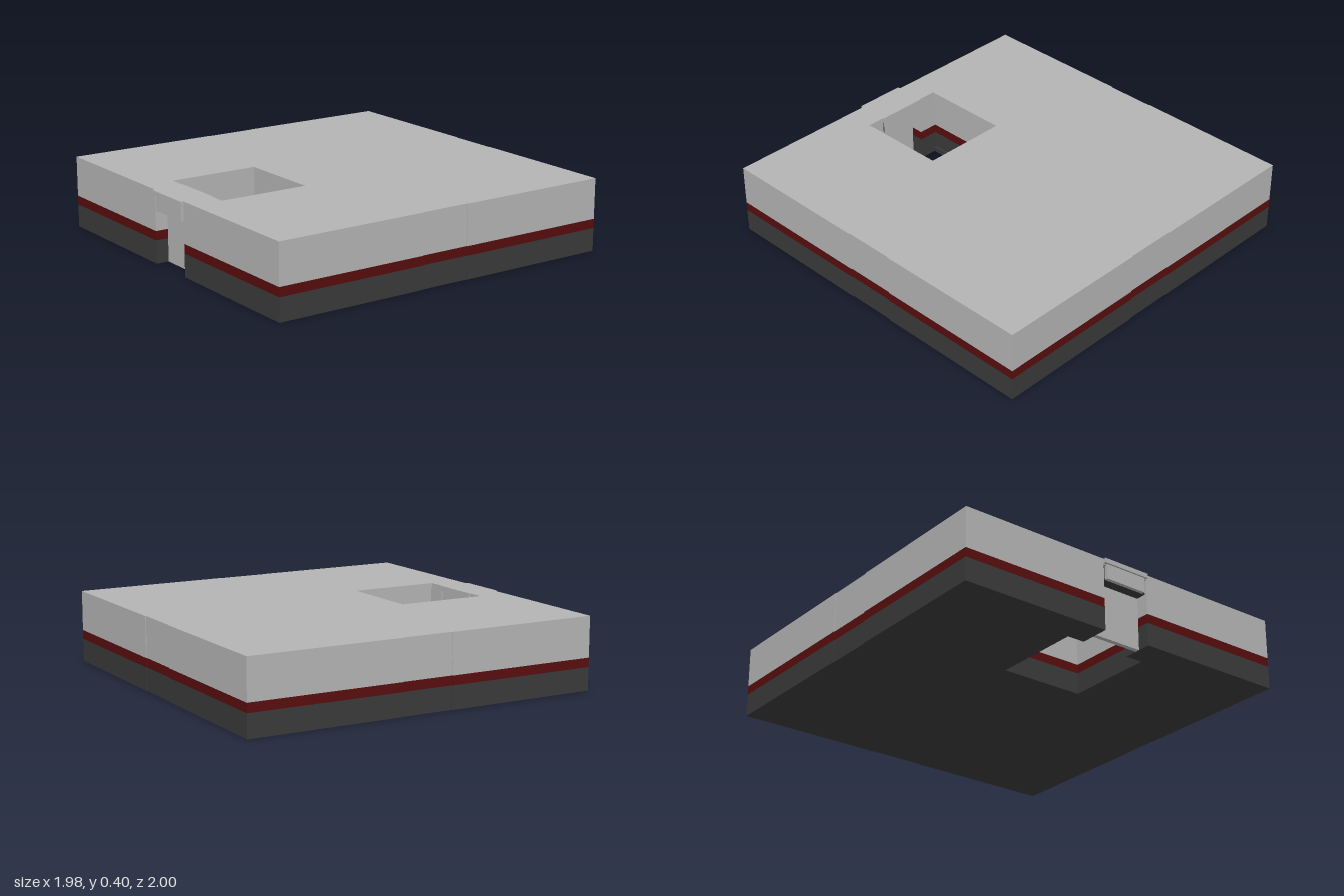
import * as THREE from 'three';

const mat = (name, color) => new THREE.MeshStandardMaterial({ name, color });

export function createModel() {
  const group = new THREE.Group();
  const grey = mat('pale grey', 0xb4b4b4);
  const red = mat('dark red', 0x580d0d);
  const dark = mat('charcoal', 0x3a3a3a);

  const X = 0.99, BACK = -1, FRONT = 0.985;
  const DOOR = 0.14, INSET = 0.004, INNER = 0.82;

  const toShape = (pts, Type = THREE.Shape) =>
    new Type(pts.map(([x, z]) => new THREE.Vector2(x, -z)));

  // right half of the outer wall line, with shallow bays on the side and back
  const half = [
    [X, FRONT], [X, DOOR], [X - INSET, DOOR], [X - INSET, -DOOR], [X, -DOOR],
    [X, BACK], [DOOR, BACK], [DOOR, BACK + INSET],
  ];
  const mirrored = pts => pts.map(([x, z]) => [-x, z]).reverse();

  // one storey layer: the opening is a shaft, optionally joined to the doorway
  function layer(name, y0, y1, material, w, back, doorway) {
    const shaft = [[DOOR, INNER], [w, INNER], [w, back]];
    let shape;
    if (doorway) {
      const right = [...shaft.slice().reverse(), [DOOR, FRONT], ...half];
      shape = toShape([...right, ...mirrored(right)]);
    } else {
      shape = toShape([...half, ...mirrored(half)]);
      shape.holes.push(toShape([[-w, INNER], [w, INNER], [w, back], [-w, back]], THREE.Path));
    }
    const geo = new THREE.ExtrudeGeometry(shape, { depth: y1 - y0, bevelEnabled: false });
    geo.rotateX(-Math.PI / 2).translate(0, y0, 0);
    const mesh = new THREE.Mesh(geo, material);
    mesh.name = name;
    group.add(mesh);
  }

  function box(name, material, x0, x1, y0, y1, z0, z1) {
    const mesh = new THREE.Mesh(new THREE.BoxGeometry(x1 - x0, y1 - y0, z1 - z0), material);
    mesh.position.set((x0 + x1) / 2, (y0 + y1) / 2, (z0 + z1) / 2);
    mesh.name = name;
    group.add(mesh);
  }

  // stacked layers, the floor and roof edges forming a small lip around the shaft
  layer('floorSlab', 0, 0.03, dark, 0.24, 0.32, true);
  layer('baseWall', 0.03, 0.125, dark, 0.25, 0.31, true);
  layer('redBand', 0.125, 0.175, red, 0.25, 0.31, true);
  layer('upperWall', 0.175, 0.365, grey, 0.25, 0.31, true);
  layer('roofSlab', 0.365, 0.395, grey, 0.24, 0.32, false);

  // doorway: recessed door, canopy and a lintel on each side
  box('door', grey, -DOOR, DOOR, 0, 0.365, 0.89, 0.915);
  box('canopyFront', grey, -DOOR, DOOR, 0.37, 0.395, FRONT, 1);
  box('canopyInner', grey, -DOOR, DOOR, 0.37, 0.395, 0.815, INNER);
  box('lintelCore', dark, -DOOR, DOOR, 0.288, 0.37, 0.835, 0.97);
  box('lintelFront', grey, -0.122, 0.122, 0.288, 0.37, 0.97, 0.99);
  box('lintelInner', grey, -0.122, 0.122, 0.288, 0.37, 0.815, 0.835);

  return group;
}
